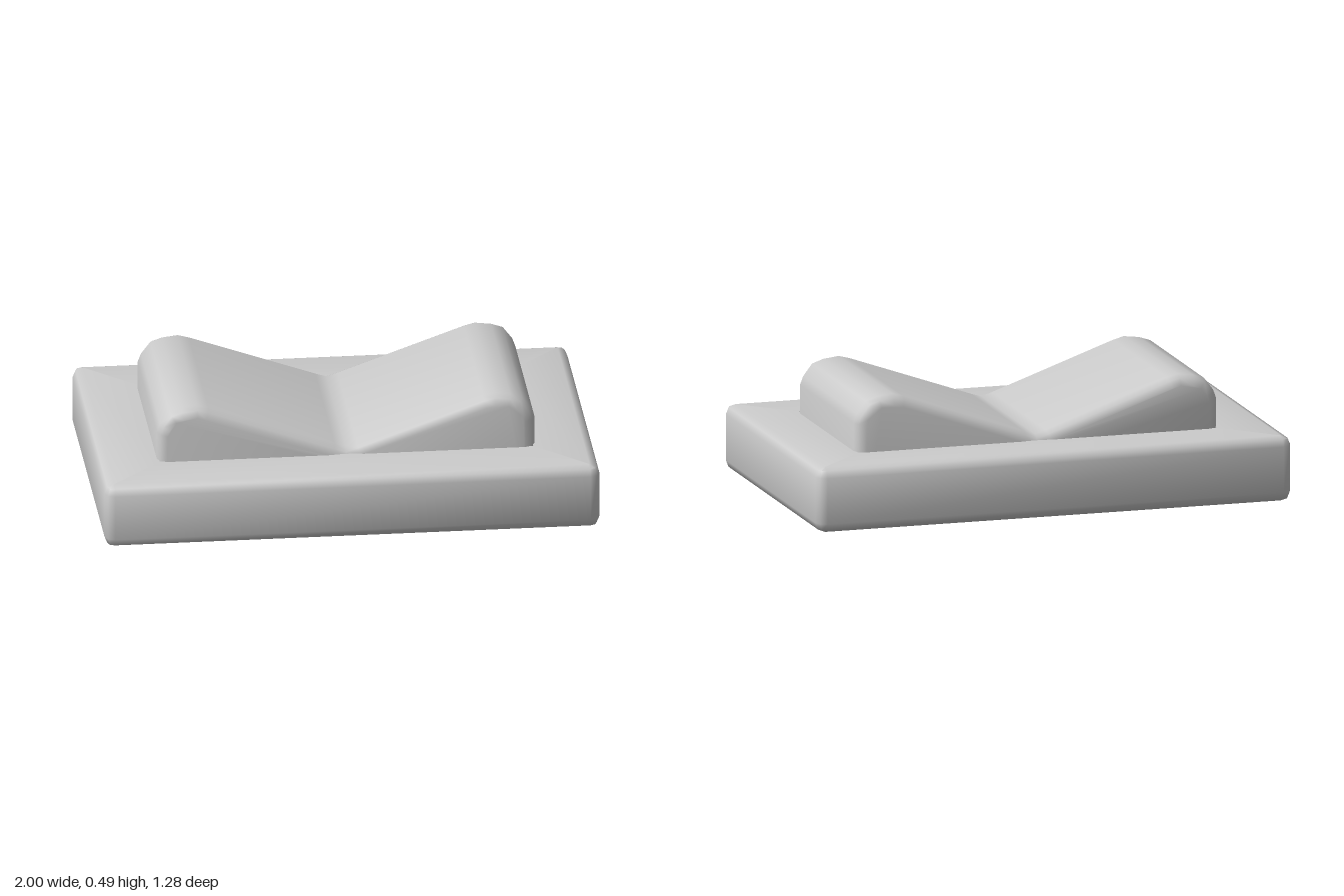
import * as THREE from 'three';
import { toCreasedNormals } from 'three/addons/utils/BufferGeometryUtils.js';

const material = new THREE.MeshStandardMaterial({ color: 0xcccccc });
const BEVEL = 0.04, MID = BEVEL * (1 - Math.SQRT1_2), HEIGHT = 0.268;

// Rectangle with three points per rounded corner, at height y
function rectLoop(halfX, halfZ, radius, y) {
  const points = [];
  [[1, 1], [-1, 1], [-1, -1], [1, -1]].forEach(([sx, sz], corner) => {
    for (let i = 0; i < 3; i++) {
      const a = (corner + i / 2) * Math.PI / 2;
      points.push([
        sx * (halfX - radius) + radius * Math.cos(a), y,
        sz * (halfZ - radius) + radius * Math.sin(a)]);
    }
  });
  return points;
}

// Closed ring of loops: outside wall, top, hole, underside
function ringGeometry(loops) {
  const n = loops[0].length, index = [];
  loops.forEach((_, j) => {
    const next = (j + 1) % loops.length;
    for (let i = 0; i < n; i++) {
      const k = (i + 1) % n;
      const a = j * n + i, b = j * n + k, c = next * n + i, d = next * n + k;
      index.push(a, c, b, b, c, d);
    }
  });
  const geometry = new THREE.BufferGeometry();
  geometry.setAttribute('position', new THREE.Float32BufferAttribute(loops.flat(2), 3));
  geometry.setIndex(index);
  return toCreasedNormals(geometry, 0.9);
}

// Bevelled frame with a rectangular opening
function createFrame() {
  const sections = [
    [BEVEL, 0], [MID, MID], [0, BEVEL],
    [0, HEIGHT - BEVEL], [MID, HEIGHT - MID], [BEVEL, HEIGHT]];
  const loops = sections.map(([inset, y]) =>
    rectLoop(1 - inset, 0.64 - inset, Math.max(BEVEL - inset, 0.002), y));
  loops.push(rectLoop(0.755, 0.393, 0.002, HEIGHT), rectLoop(0.755, 0.393, 0.002, 0));
  const mesh = new THREE.Mesh(ringGeometry(loops), material);
  mesh.name = 'frame';
  return mesh;
}

// Rocker with a shallow V across the top
function createRocker() {
  const half = [
    [0.763, -0.035], [0.763, 0.385], [0.75, 0.42], [0.712, 0.47],
    [0.665, 0.486], [0.6, 0.494], [0.555, 0.482], [0.045, 0.301]];
  const outline = [
    ...half, [0, 0.287],
    ...half.map(([x, y]) => [-x, y]).reverse()];
  const shape = new THREE.Shape(outline.map(([x, y]) => new THREE.Vector2(x, y)));
  const geometry = new THREE.ExtrudeGeometry(shape, {
    depth: 0.8 - 2 * BEVEL, bevelEnabled: true, bevelSegments: 2,
    bevelThickness: BEVEL, bevelSize: BEVEL, bevelOffset: -BEVEL });
  geometry.translate(0, 0, -0.4 + BEVEL);

  // Flatten the underside so it sits just inside the frame
  const position = geometry.attributes.position;
  for (let i = 0; i < position.count; i++) {
    position.setY(i, Math.max(position.getY(i), 0.006));
  }
  const mesh = new THREE.Mesh(toCreasedNormals(geometry, 0.9), material);
  mesh.name = 'rocker';
  return mesh;
}

export function createModel() {
  const group = new THREE.Group();
  group.name = 'rockerSwitch';
  group.add(createFrame(), createRocker());
  return group;
}
